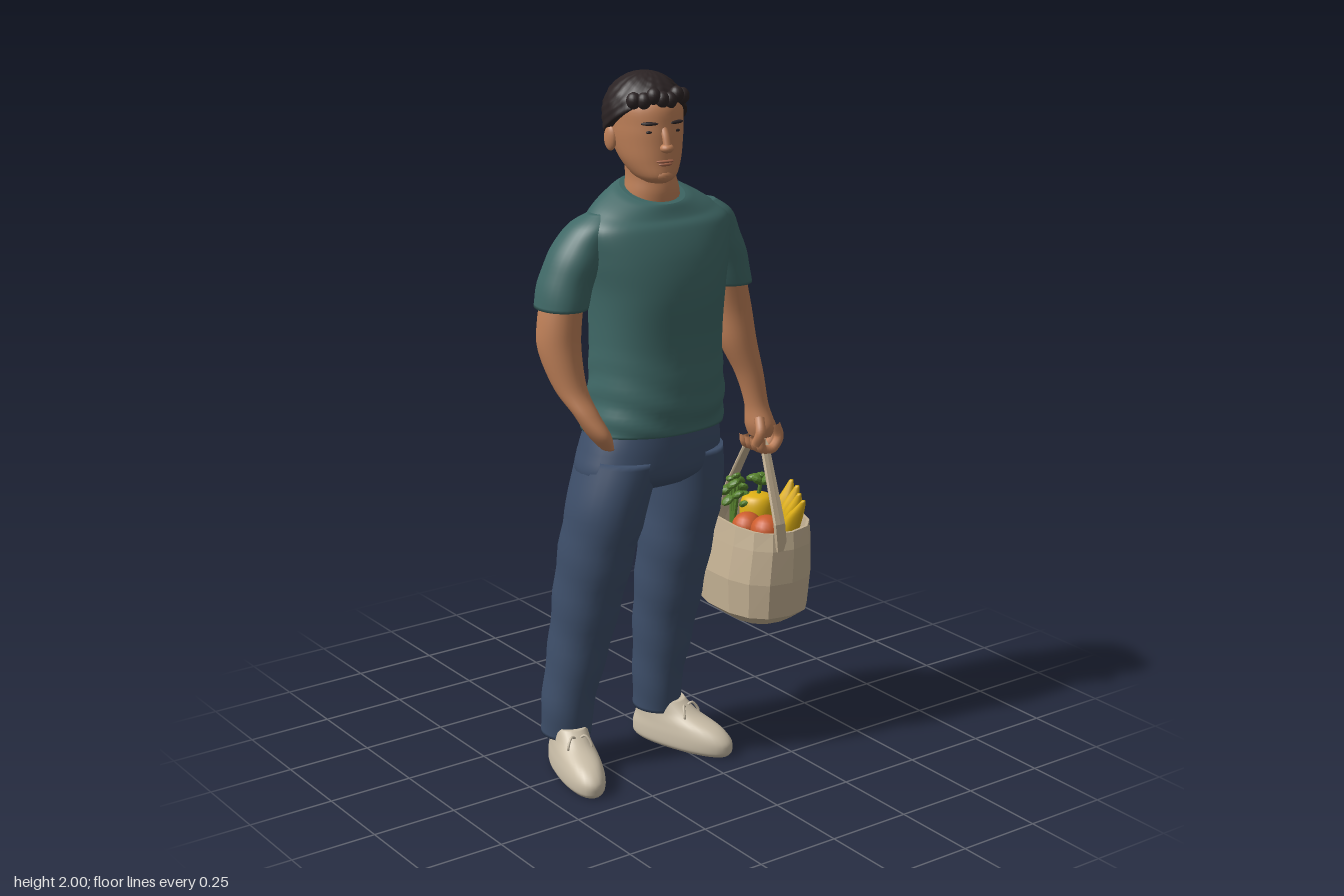
import * as THREE from 'three';

const mat = (name, color, flat = false) => {
  const m = new THREE.MeshStandardMaterial({ color, flatShading: flat });
  m.name = name;
  return m;
};

// Closed tube of rings: fn(angle, t) gives a point; both ends are capped.
function skin(cols, rows, fn) {
  const pos = [], idx = [];
  for (let j = 0; j <= rows; j++)
    for (let i = 0; i < cols; i++) pos.push(...fn((i / cols) * Math.PI * 2, j / rows));
  for (let j = 0; j < rows; j++)
    for (let i = 0; i < cols; i++) {
      const a = j * cols + i, b = j * cols + (i + 1) % cols;
      idx.push(a, b, b + cols, a, b + cols, a + cols);
    }
  for (const [row, flip] of [[0, true], [rows, false]]) {
    const c = [0, 0, 0], centre = pos.length / 3;
    for (let i = 0; i < cols; i++) for (let k = 0; k < 3; k++) c[k] += pos[(row * cols + i) * 3 + k] / cols;
    pos.push(...c);
    for (let i = 0; i < cols; i++) {
      const a = row * cols + i, b = row * cols + (i + 1) % cols;
      if (flip) idx.push(b, a, centre); else idx.push(a, b, centre);
    }
  }
  const g = new THREE.BufferGeometry();
  g.setAttribute('position', new THREE.Float32BufferAttribute(pos, 3));
  g.setIndex(idx);
  g.computeVertexNormals();
  return g;
}

// Loft through sections [x, y, z, radiusX, radiusZ, slope], listed bottom to top.
function loft(sections, { cols = 28, sub = 6, e = 1, smooth = true, fold = () => 0 } = {}) {
  const n = sections.length - 1;
  const at = t => {
    const f = Math.min(t * n, n - 1e-6), i = Math.floor(f), u = f - i;
    const P = k => sections[Math.max(0, Math.min(n, k))];
    return [0, 1, 2, 3, 4, 5].map(k => {
      const [p0, p1, p2, p3] = [P(i - 1), P(i), P(i + 1), P(i + 2)].map(s => s[k] || 0);
      if (!smooth) return p1 + (p2 - p1) * u;
      return p1 + 0.5 * u * (p2 - p0 + u * (2 * p0 - 5 * p1 + 4 * p2 - p3 + u * (3 * (p1 - p2) + p3 - p0)));
    });
  };
  const pw = v => Math.sign(v) * Math.abs(v) ** e;
  return skin(cols, n * sub, (a, t) => {
    const [x, y, z, rx, rz, slope] = at(t), k = 1 + fold(a, y);
    const dx = pw(Math.cos(a)) * rx * k;
    return [x + dx, y + slope * dx, z - pw(Math.sin(a)) * rz * k];
  });
}

export function createModel() {
  const skinTone = mat('skin', 0xbf8058), lipTone = mat('lips', 0xa4644a), hair = mat('dark hair', 0x2b2324);
  const teal = mat('teal cotton', 0x3f6866), denim = mat('blue denim', 0x3d4e69), shoe = mat('cream shoe', 0xcbbfa9);
  const canvas = mat('canvas', 0xc5b294, true), yellow = mat('yellow', 0xdfb015);
  const green = mat('leaf green', 0x557f2c, true), orange = mat('orange red', 0xcc5c2c);

  const model = new THREE.Group();
  const add = (name, geo, m, parent = model) => {
    const mesh = new THREE.Mesh(geo, m);
    mesh.name = name;
    parent.add(mesh);
    return mesh;
  };
  const ball = (name, p, r, m, parent = model) => {
    const b = add(name, new THREE.SphereGeometry(1, 18, 12), m, parent);
    b.position.set(...p);
    b.scale.set(...r);
    return b;
  };
  const tube = (name, pts, r, m, parent = model) => add(name, new THREE.TubeGeometry(
    new THREE.CatmullRomCurve3(pts.map(p => new THREE.Vector3(...p))), 16, r, 8), m, parent);

  // Shirt, with soft creases near the waist
  const crease = (a, y) => 0.022 * Math.max(0, (1.28 - y) / 0.28) * Math.sin(y * 75 + 2.5 * Math.sin(a * 2 + 1));
  add('shirtBody', loft([
    [-0.01, 1.005, 0.066, 0.165, 0.207, 0.06], [-0.003, 1.1, 0.056, 0.165, 0.198], [-0.008, 1.25, 0.053, 0.158, 0.192],
    [-0.008, 1.4, 0.05, 0.162, 0.2], [-0.015, 1.5, 0.047, 0.153, 0.222], [-0.02, 1.58, 0.045, 0.126, 0.232],
    [-0.022, 1.63, 0.05, 0.105, 0.185, -0.2], [-0.02, 1.665, 0.055, 0.09, 0.122, -0.32], [-0.018, 1.675, 0.056, 0.083, 0.09, -0.36],
  ], { cols: 44, sub: 8, e: 0.9, fold: crease }), teal);
  const sleeveFold = (a, y) => 0.012 * Math.sin(y * 60 + a);
  add('rightSleeve', loft([
    [-0.065, 1.37, 0.33, 0.086, 0.071], [-0.062, 1.45, 0.31, 0.086, 0.075], [-0.055, 1.53, 0.272, 0.084, 0.077],
    [-0.045, 1.59, 0.24, 0.072, 0.063], [-0.035, 1.625, 0.205, 0.04, 0.045],
  ], { fold: sleeveFold }), teal);
  add('leftSleeve', loft([
    [-0.03, 1.375, -0.211, 0.078, 0.068], [-0.03, 1.45, -0.19, 0.08, 0.075], [-0.032, 1.53, -0.16, 0.08, 0.077],
    [-0.032, 1.59, -0.145, 0.07, 0.063], [-0.03, 1.625, -0.115, 0.04, 0.045],
  ], { fold: sleeveFold }), teal);

  // Arms
  add('rightArmInPocket', loft([
    [0.065, 0.985, 0.268, 0.025, 0.016], [0.053, 1.03, 0.29, 0.045, 0.03], [0.03, 1.085, 0.314, 0.038, 0.035],
    [-0.022, 1.15, 0.33, 0.05, 0.045], [-0.06, 1.25, 0.339, 0.066, 0.058], [-0.065, 1.33, 0.335, 0.066, 0.06],
    [-0.065, 1.42, 0.32, 0.065, 0.058],
  ]), skinTone);
  add('leftArm', loft([
    [0.028, 0.915, -0.292, 0.04, 0.03], [0.026, 0.95, -0.292, 0.05, 0.04], [0.018, 1.01, -0.285, 0.037, 0.034],
    [0.002, 1.1, -0.27, 0.043, 0.041], [-0.02, 1.2, -0.243, 0.055, 0.056], [-0.033, 1.3, -0.229, 0.06, 0.058],
    [-0.03, 1.42, -0.2, 0.062, 0.056],
  ]), skinTone);
  for (let i = 0; i < 4; i++) {
    const x = -0.012 + i * 0.026;
    tube('finger', [[x, 0.955, -0.318], [x, 0.91, -0.332], [x, 0.878, -0.305], [x, 0.885, -0.27], [x, 0.915, -0.265]], 0.0145, skinTone);
  }
  tube('thumb', [[0.055, 0.975, -0.268], [0.078, 0.935, -0.255], [0.06, 0.9, -0.255]], 0.015, skinTone);

  // Trousers
  add('trouserSeat', loft([
    [-0.01, 0.85, 0.09, 0.1, 0.16], [-0.01, 0.89, 0.085, 0.146, 0.216], [-0.01, 0.96, 0.073, 0.154, 0.213],
    [-0.008, 1.04, 0.065, 0.148, 0.19],
  ], { cols: 40, e: 0.9 }), denim);
  const legFold = (a, y) => 0.022 * Math.sin(y * 42 + 1.5 * Math.sin(a + 1)) * (y < 0.75 ? 1 : 0.2);
  add('rightTrouserLeg', loft([
    [-0.078, 0.1, 0.324, 0.079, 0.07], [-0.072, 0.2, 0.319, 0.08, 0.076], [-0.062, 0.4, 0.279, 0.097, 0.09],
    [-0.038, 0.6, 0.252, 0.117, 0.101], [-0.008, 0.8, 0.221, 0.131, 0.109], [-0.006, 0.94, 0.183, 0.14, 0.106],
  ], { fold: legFold }), denim);
  add('leftTrouserLeg', loft([
    [-0.075, 0.105, 0.006, 0.078, 0.067], [-0.07, 0.2, 0.005, 0.08, 0.071], [-0.06, 0.4, -0.015, 0.097, 0.093],
    [-0.035, 0.6, -0.028, 0.117, 0.102], [-0.008, 0.8, -0.043, 0.131, 0.105], [-0.006, 0.94, -0.035, 0.14, 0.106],
  ], { fold: legFold }), denim);

  // Shoes
  for (const [name, z, turn] of [['rightShoe', 0.347, -0.27], ['leftShoe', -0.027, 0.33]]) {
    const g = new THREE.Group();
    g.name = name;
    g.position.set(0.01, 0, z);
    g.rotation.y = turn;
    model.add(g);
    add('shoeBody', loft([
      [0, 0.002, 0, 0.163, 0.052], [0, 0.015, 0, 0.172, 0.061], [-0.001, 0.045, 0, 0.171, 0.061],
      [-0.015, 0.075, 0, 0.148, 0.056], [-0.055, 0.105, 0, 0.106, 0.05], [-0.08, 0.14, 0, 0.078, 0.049],
    ], { cols: 32, e: 0.9 }), shoe, g);
    for (const x of [0.015, 0.045]) // laces
      tube('lace', [[x, 0.08, -0.035], [x, 0.118 - x * 0.5, 0], [x, 0.08, 0.035]], 0.005, shoe, g);
    for (const s of [-1, 1])
      tube('laceBow', [[0.012, 0.115, 0], [0.02, 0.13, s * 0.02], [0.035, 0.1, s * 0.035], [0.02, 0.1, s * 0.01]], 0.004, shoe, g);
  }

  // Neck and head, turned a little to the man's right
  add('neck', loft([[-0.022, 1.6, 0.055, 0.07, 0.08], [-0.02, 1.67, 0.056, 0.074, 0.078],
    [-0.022, 1.72, 0.06, 0.068, 0.07], [-0.025, 1.79, 0.068, 0.066, 0.068]]), skinTone);
  const head = new THREE.Group();
  head.name = 'head';
  head.position.set(-0.03, 0, 0.07);
  head.rotation.y = -0.18;
  model.add(head);
  add('face', loft([
    [0.07, 1.708, 0, 0.04, 0.03], [0.055, 1.725, 0, 0.078, 0.056], [0.03, 1.765, 0, 0.102, 0.08],
    [0.012, 1.81, 0, 0.118, 0.092], [0.005, 1.86, 0, 0.122, 0.097], [0, 1.92, 0, 0.115, 0.094], [0, 1.975, 0, 0.06, 0.05],
  ]), skinTone, head);
  tube('noseBridge', [[0.112, 1.865, 0], [0.13, 1.84, 0], [0.141, 1.812, 0]], 0.011, skinTone, head);
  ball('noseTip', [0.138, 1.808, 0], [0.019, 0.013, 0.019], skinTone, head);
  ball('upperLip', [0.126, 1.771, 0], [0.011, 0.005, 0.027], lipTone, head);
  ball('lowerLip', [0.125, 1.763, 0], [0.011, 0.006, 0.022], lipTone, head);
  ball('chin', [0.112, 1.732, 0], [0.025, 0.02, 0.03], skinTone, head);
  for (const s of [-1, 1]) {
    ball('eye', [0.113, 1.85, s * 0.037], [0.006, 0.005, 0.013], hair, head);
    ball('eyebrow', [0.114, 1.873, s * 0.04], [0.009, 0.005, 0.024], hair, head).rotation.y = s * -0.35;
    ball('ear', [-0.01, 1.82, s * 0.1], [0.022, 0.035, 0.012], skinTone, head).rotation.y = s * 0.35;
  }

  // Curly hair: a cap whose edge drops from the brow to the nape
  add('hairCap', skin(72, 34, (a, t) => {
    const back = (1 - Math.cos(a)) / 2;
    const v = 1 - t, th = 0.02 + v * (1.1 + 1.4 * back ** 0.85);
    const curl = 1 + 0.02 * Math.sin(14 * a + 3 * Math.sin(th * 4)) * Math.sin(th * 17 + Math.sin(a * 5)) * Math.min(1, th);
    const r = (th < Math.PI / 2 ? Math.sin(th) : Math.sin(th) ** 0.4) * curl * (t === 0 ? 0.86 : 1);
    return [-0.005 + 0.125 * r * Math.cos(a), 1.885 + 0.113 * Math.cos(th) * curl, -0.114 * r * Math.sin(a)];
  }), hair, head);
  for (let i = 0; i < 7; i++) {
    const z = -0.072 + i * 0.024;
    ball('frontCurl', [0.108 - z * z * 5, 1.937 + 0.008 * Math.sin(i * 2), z], [0.021, 0.023, 0.02], hair, head);
  }

  // Shopping bag with open top and strap
  add('bag', loft([
    [0.02, 0.362, -0.295, 0.11, 0.09], [0, 0.395, -0.295, 0.175, 0.132], [-0.004, 0.5, -0.298, 0.187, 0.139],
    [0, 0.6, -0.306, 0.178, 0.13], [0, 0.66, -0.311, 0.166, 0.124, -0.06], [0, 0.66, -0.311, 0.158, 0.116, -0.06],
    [0, 0.57, -0.306, 0.155, 0.112],
  ], { cols: 14, sub: 1, e: 0.8, smooth: false }), canvas);
  for (const s of [-1, 1])
    add('strap', loft([[s * 0.164, 0.6, -0.29 + s * 0.02, 0.007, 0.02], [s * 0.155, 0.68, -0.288 + s * 0.02, 0.007, 0.02],
      [0.025 + s * 0.035, 0.89, -0.285, 0.008, 0.014], [0.028, 0.915, -0.285, 0.012, 0.014]],
    { cols: 8, sub: 1, e: 0.5, smooth: false }), canvas);

  // Groceries
  for (const [x, z, tx, tz] of [[0.0, -0.36, 0.012, -0.425], [0.035, -0.355, 0.065, -0.405],
    [0.075, -0.35, 0.125, -0.365], [0.095, -0.335, 0.182, -0.335]]) {
    const dx = tx - x, dz = tz - z;
    add('banana', loft([
      [x, 0.56, z, 0.02, 0.02], [x + dx * 0.2, 0.62, z + dz * 0.4, 0.027, 0.027], [x + dx * 0.5, 0.68, z + dz * 0.7, 0.025, 0.025],
      [x + dx * 0.8, 0.718, z + dz * 0.9, 0.015, 0.015], [tx, 0.745, tz, 0.006, 0.006],
    ], { cols: 8, sub: 3 }), yellow);
  }
  add('yellowPepper', loft([[-0.055, 0.56, -0.35, 0.05, 0.05], [-0.055, 0.65, -0.35, 0.054, 0.052],
    [-0.055, 0.69, -0.35, 0.042, 0.042], [-0.055, 0.7, -0.35, 0.015, 0.015]]), yellow);
  ball('tomato', [0.1, 0.645, -0.265], [0.048, 0.046, 0.048], orange);
  ball('tomato', [0.02, 0.635, -0.255], [0.046, 0.045, 0.046], orange);
  const leaf = (p, r, turn) => {
    const l = add('leaf', new THREE.IcosahedronGeometry(1, 1), green);
    l.position.set(...p);
    l.scale.set(r, r * 0.5, r * 0.8);
    l.rotation.set(Math.sin(turn) * 0.5, turn, Math.cos(turn) * 0.5);
  };
  for (let i = 0; i < 14; i++) {
    const a = i * 2.4, r = 0.011 * Math.sqrt(i);
    leaf([-0.1 + r * Math.cos(a), 0.75 - i * 0.006, -0.3 + r * Math.sin(a)], 0.022, a);
  }
  for (let i = 0; i < 5; i++) {
    const a = i * 1.257;
    leaf([-0.05 + 0.026 * Math.cos(a), 0.745, -0.36 + 0.02 * Math.sin(a)], 0.024, -a);
  }
  tube('stem', [[-0.055, 0.68, -0.35], [-0.052, 0.71, -0.355], [-0.05, 0.745, -0.36]], 0.006, green);
  for (const d of [-0.02, 0, 0.02])
    tube('stem', [[-0.1, 0.56, -0.29], [-0.1 + d * 0.5, 0.65, -0.295], [-0.1 + d, 0.74, -0.3]], 0.006, green);

  return model;
}
